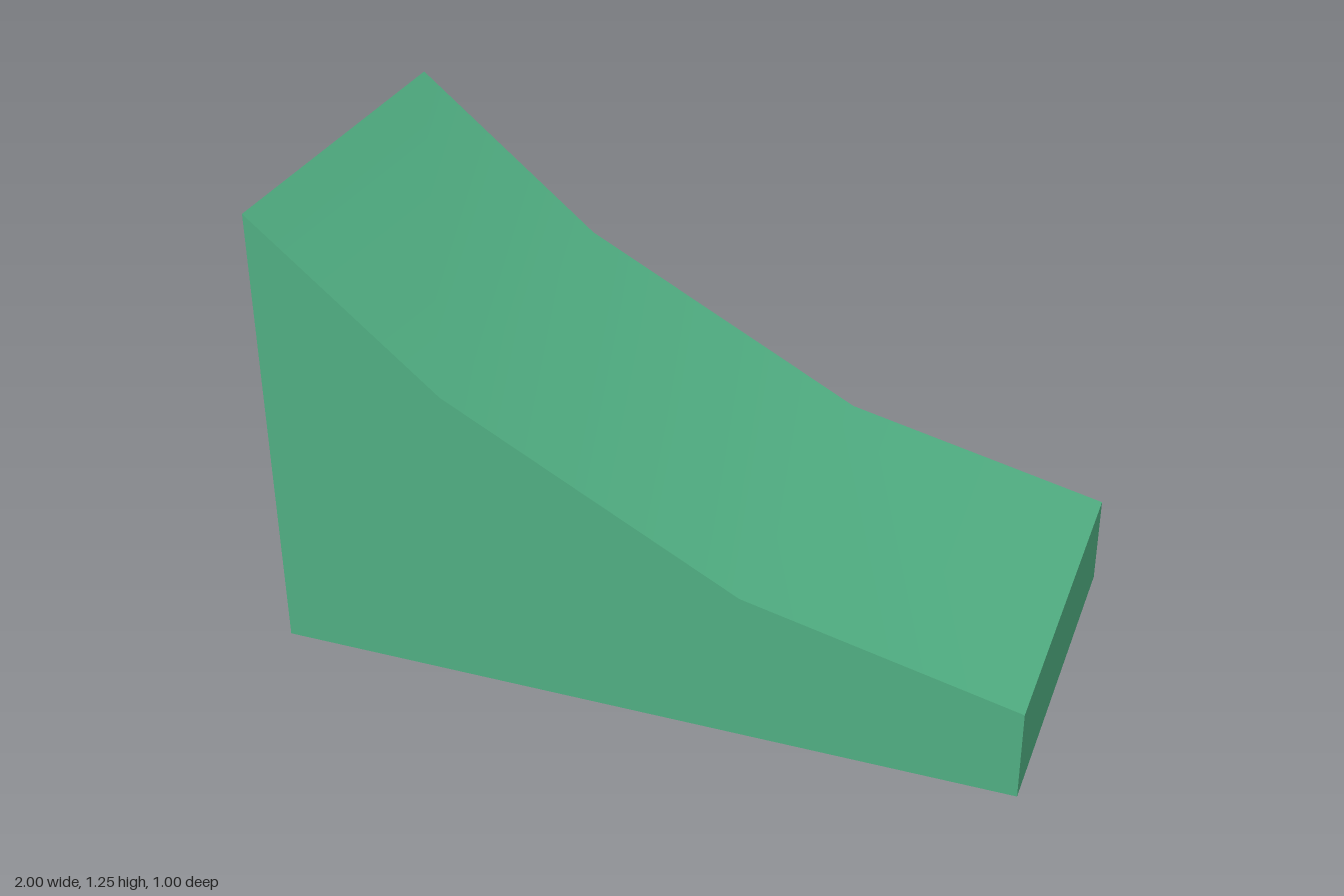
import * as THREE from 'three';
import { toCreasedNormals } from 'three/addons/utils/BufferGeometryUtils.js';

export function createModel() {
  const group = new THREE.Group();
  group.name = 'slopeBlock';

  // Side profile: flat base, tall wall on one end, concave slope down to a low wall
  const profile = [
    [-1, 0], [1, 0], [1, 0.25], [0.28, 0.417], [-0.5, 0.833], [-1, 1.25],
  ].map(([x, y]) => new THREE.Vector2(x, y));

  const depth = 1;
  const geometry = new THREE.ExtrudeGeometry(new THREE.Shape(profile), { depth, bevelEnabled: false });
  geometry.translate(0, 0, -depth / 2);

  // Slope is smooth across its bends, all other edges stay sharp
  const ramp = new THREE.Mesh(
    toCreasedNormals(geometry, Math.PI / 6),
    new THREE.MeshStandardMaterial({ color: 0x50ae82 }),
  );
  ramp.name = 'ramp';
  group.add(ramp);
  return group;
}
